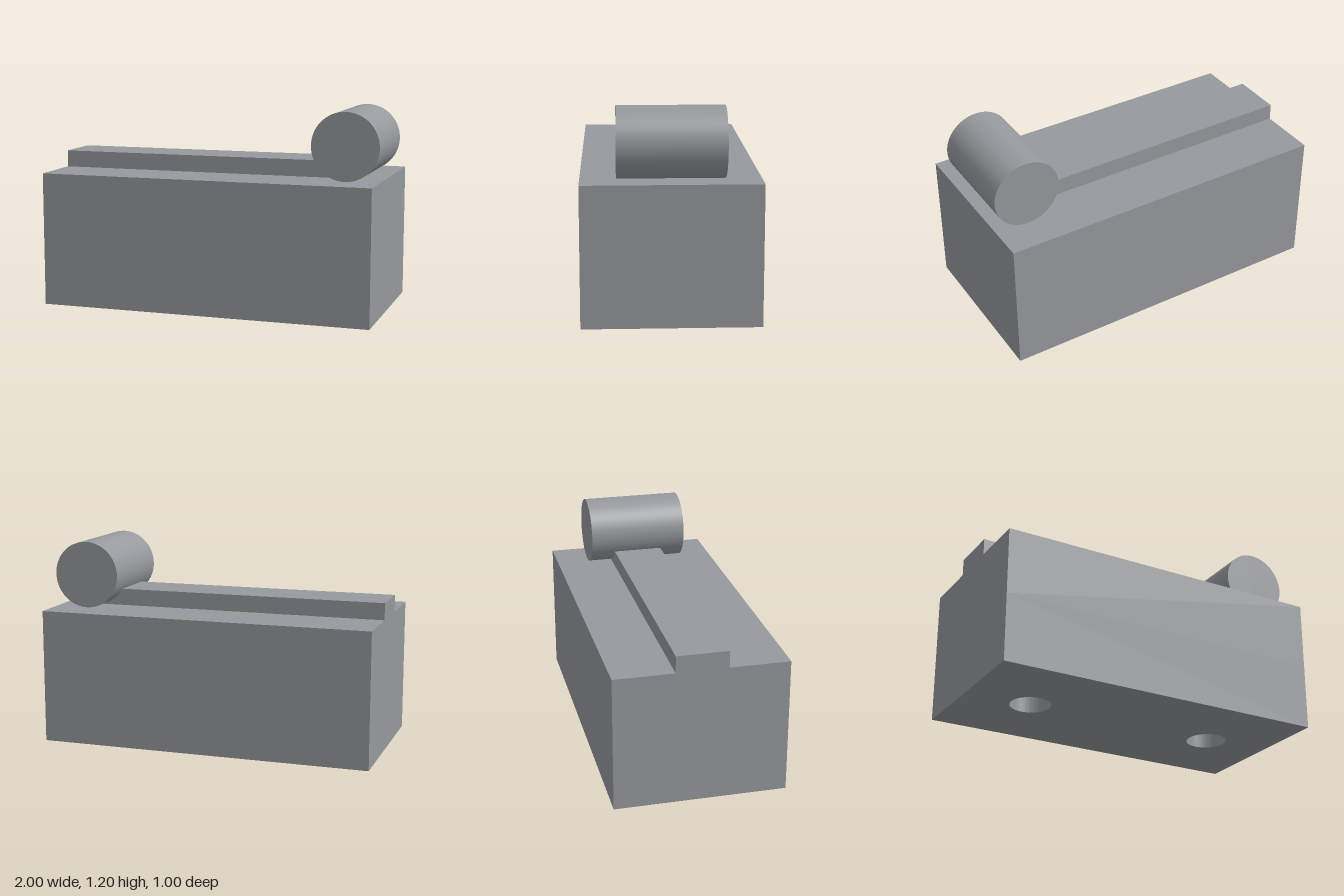
import * as THREE from 'three';
import { toCreasedNormals } from 'three/addons/utils/BufferGeometryUtils.js';

// Blue-grey steel
const material = new THREE.MeshStandardMaterial({ color: 0x96999d });

function addPart(group, name, geometry, x, y, z) {
  const mesh = new THREE.Mesh(geometry, material);
  mesh.name = name;
  mesh.position.set(x, y, z);
  group.add(mesh);
}

export function createModel() {
  const group = new THREE.Group();
  group.name = 'blockWithRailAndRoller';

  const length = 2, width = 1, height = 0.8;
  const holeDepth = 0.4, holeRadius = 0.12;

  // Lower half of the block, with two round mounting holes
  const outline = new THREE.Shape([
    new THREE.Vector2(-length / 2, -width / 2),
    new THREE.Vector2(length / 2, -width / 2),
    new THREE.Vector2(length / 2, width / 2),
    new THREE.Vector2(-length / 2, width / 2),
  ]);
  for (const x of [-0.6, 0.6]) {
    outline.holes.push(new THREE.Path().absarc(x, 0, holeRadius, 0, Math.PI * 2, true));
  }
  const lower = new THREE.ExtrudeGeometry(outline, {
    depth: holeDepth, bevelEnabled: false, curveSegments: 48,
  }).rotateX(-Math.PI / 2);
  addPart(group, 'blockBase', toCreasedNormals(lower, 0.6), 0, 0, 0);

  // Solid upper half, which closes the holes
  const upperHeight = height - holeDepth;
  addPart(group, 'blockTop', new THREE.BoxGeometry(length, upperHeight, width),
    0, holeDepth + upperHeight / 2, 0);

  // Raised rail, ending under the roller
  addPart(group, 'rail', new THREE.BoxGeometry(1.8, 0.1, 0.3), -0.1, 0.85, 0);

  // Roller lying across the rail
  const roller = new THREE.CylinderGeometry(0.2, 0.2, 0.6, 64).rotateX(Math.PI / 2);
  addPart(group, 'roller', roller, 0.8, 1, 0);

  return group;
}
